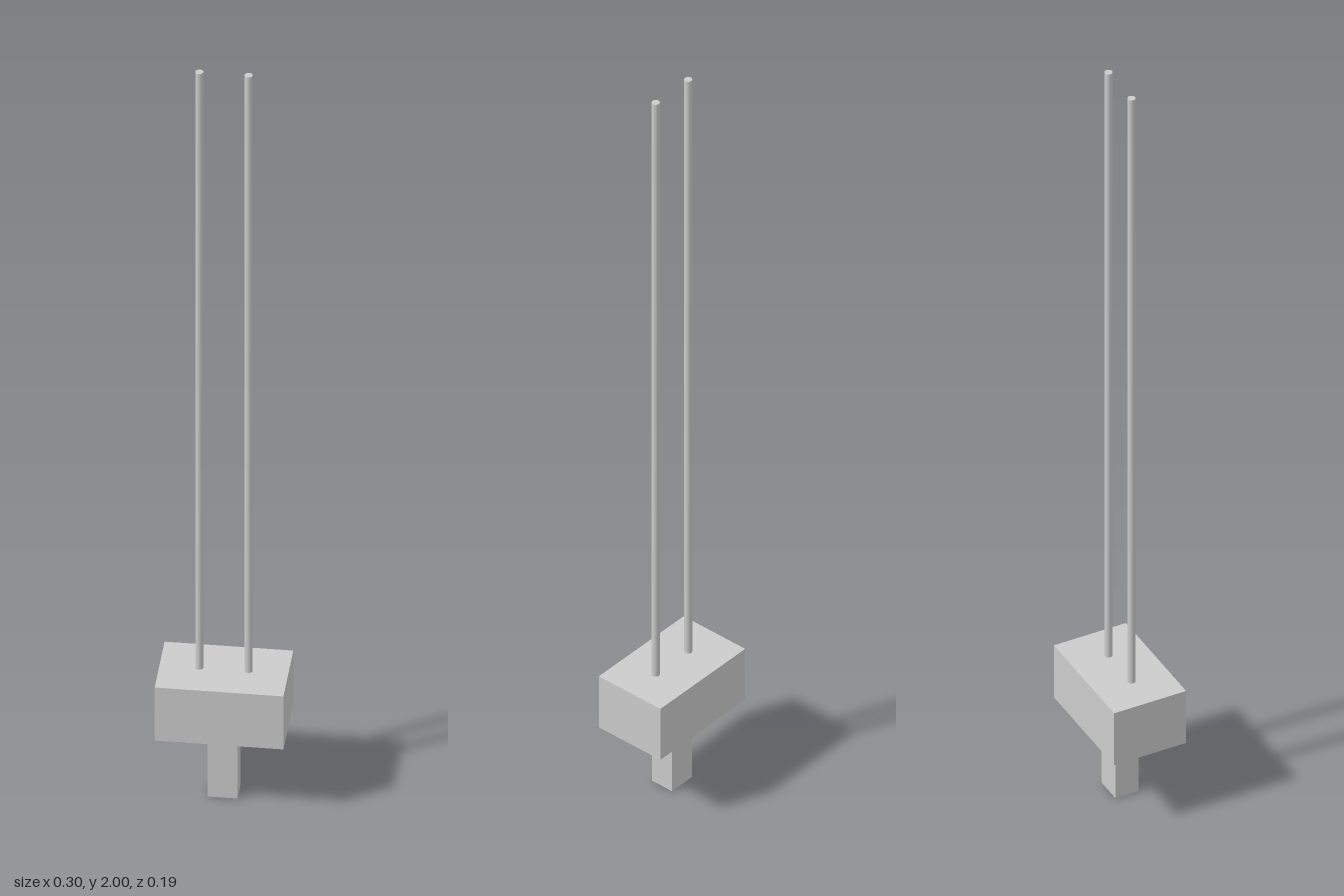
import * as THREE from 'three';

export function createModel() {
  const group = new THREE.Group();
  const material = new THREE.MeshStandardMaterial({ color: 0xcccccc });

  const add = (name, geometry, x, y) => {
    const mesh = new THREE.Mesh(geometry, material);
    mesh.name = name;
    mesh.position.set(x, y, 0);
    group.add(mesh);
  };

  // Square stem below the body
  const stemTop = 0.19;
  add('stem', new THREE.BoxGeometry(0.07, stemTop, 0.06), 0, stemTop / 2);

  // Rectangular body
  const bodyTop = 0.338;
  add('body', new THREE.BoxGeometry(0.298, bodyTop - stemTop, 0.187), 0, (bodyTop + stemTop) / 2);

  // Pair of long thin rods standing on the body
  const rodLength = 2 - bodyTop;
  for (const [name, side] of [['leftRod', 1], ['rightRod', -1]]) {
    add(name, new THREE.CylinderGeometry(0.0095, 0.0095, rodLength, 16), side * 0.057, bodyTop + rodLength / 2);
  }

  return group;
}
